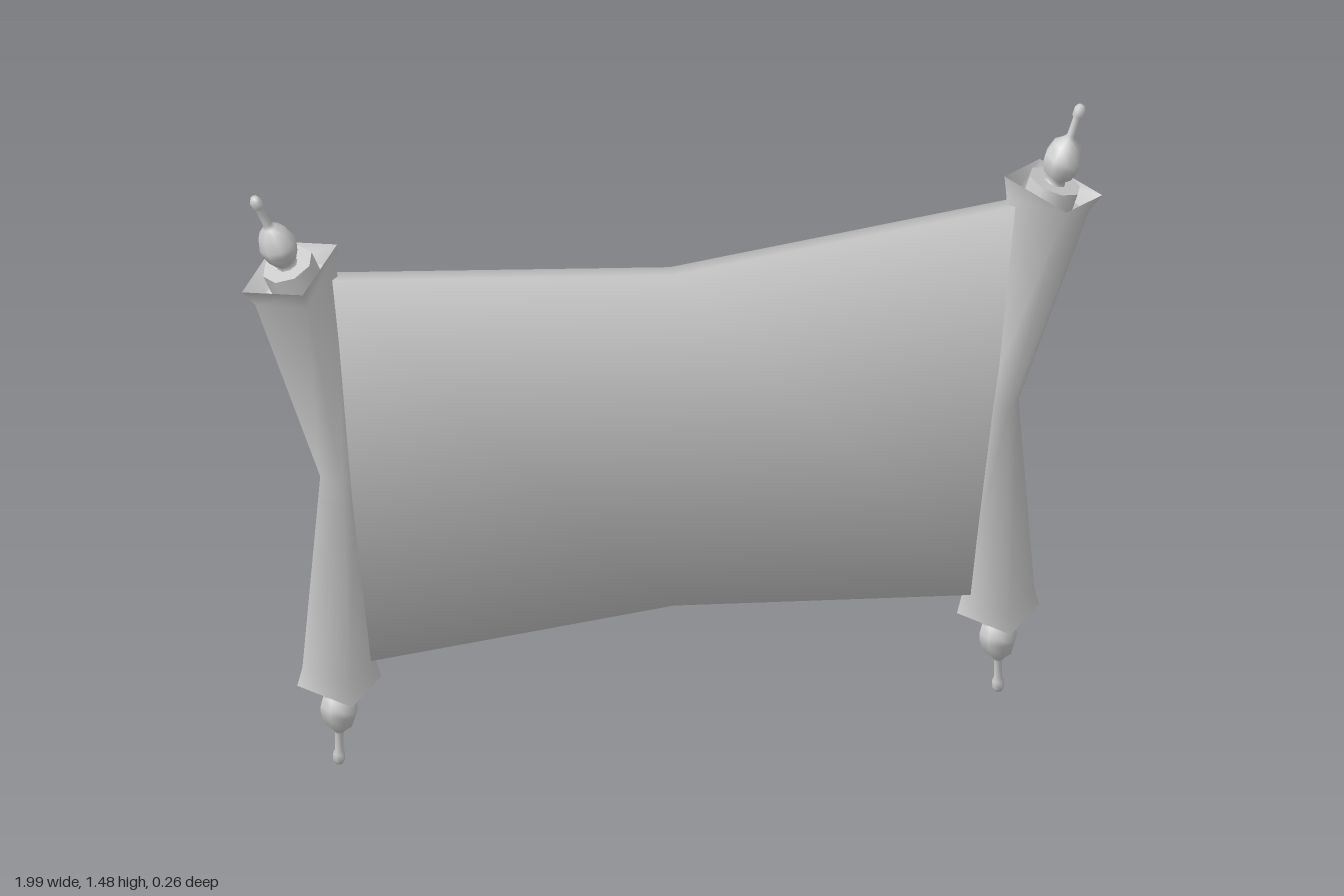
import * as THREE from 'three';

const material = new THREE.MeshStandardMaterial({ color: 0xcccccc, side: THREE.DoubleSide });

function addMesh(parent, name, geometry) {
  const mesh = new THREE.Mesh(geometry, material);
  mesh.name = name;
  parent.add(mesh);
  return mesh;
}

// Smooth skin over diamond cross-sections [x, y, tilt, radiusX, radiusZ], listed upwards
function loft(sections) {
  const pos = [], index = [];
  sections.forEach(([cx, cy, tilt, rx, rz], j) => {
    for (let i = 0; i < 4; i++) {
      const a = i * Math.PI / 2, r = rx * Math.cos(a);
      pos.push(cx + r * Math.cos(tilt), cy + r * Math.sin(tilt), rz * Math.sin(a));
      if (j === 0) continue;
      const p = (j - 1) * 4 + i, q = (j - 1) * 4 + (i + 1) % 4;
      index.push(p, p + 4, q, q, p + 4, q + 4);
    }
  });
  const g = new THREE.BufferGeometry();
  g.setAttribute('position', new THREE.Float32BufferAttribute(pos, 3));
  g.setIndex(index);
  g.computeVertexNormals();
  return g;
}

// Section moved along its own axis and scaled
function shifted([x, y, t, rx, rz], d, s) {
  return [x - d * Math.sin(t), y + d * Math.cos(t), t, rx * s, rz * s];
}

// Knob on a collar, growing along +y from the roller rim
function makeFinial(name) {
  const g = new THREE.Group();
  g.name = name;
  addMesh(g, 'collar', new THREE.CylinderGeometry(0.07, 0.07, 0.057, 8)).position.y = -0.0165;
  const profile = [
    [0.03, 0.01], [0.024, 0.02], [0.04, 0.034], [0.049, 0.058], [0.049, 0.074], [0.038, 0.105],
    [0.018, 0.121], [0.011, 0.13], [0.011, 0.175], [0.016, 0.183], [0.016, 0.199], [0.009, 0.209], [0, 0.21],
  ].map(([r, y]) => new THREE.Vector2(r, y));
  addMesh(g, 'knob', new THREE.LatheGeometry(profile, 8));
  g.scale.x = 0.87;
  return g;
}

// Waisted roller with flared rims, sunken ends and two finials
function makeRoller(name, sections) {
  const g = new THREE.Group();
  g.name = name;
  addMesh(g, 'rollerBody', loft(sections));
  const bottom = sections[0], top = sections[sections.length - 1];
  const ends = [['bottom', bottom, 1], ['top', top, -1]];
  for (const [end, rim, inward] of ends) {
    const rings = [rim, shifted(rim, inward * 0.04, 0.72), shifted(rim, inward * 0.04, 0)];
    if (inward > 0) rings.reverse();
    addMesh(g, end + 'Recess', loft(rings.slice(0, 2)));
    addMesh(g, end + 'Floor', loft(rings.slice(1)));
    const finial = makeFinial(end + 'Finial');
    finial.position.set(rim[0], rim[1], 0);
    finial.rotation.z = rim[2] + (inward > 0 ? Math.PI : 0);
    g.add(finial);
  }
  return g;
}

// Thin sheet, lower in the middle, with normals rounded over its long edges
function makeSheet() {
  const columns = [[-0.81, 1.25, -0.74, 0.26], [0, 1.165, 0, 0.32], [0.8, 1.245, 0.73, 0.26]];
  const pos = [], normal = [], index = [], h = 0.02, n = Math.SQRT1_2;
  columns.forEach(([tx, ty, bx, by], j) => {
    pos.push(tx, ty, h, tx, ty, -h, bx, by, -h, bx, by, h);
    normal.push(0, n, n, 0, n, -n, 0, -n, -n, 0, -n, n);
    if (j === 0) return;
    for (let i = 0; i < 4; i++) {
      const p = (j - 1) * 4 + i, q = (j - 1) * 4 + (i + 1) % 4;
      index.push(p, p + 4, q, q, p + 4, q + 4);
    }
  });
  const g = new THREE.BufferGeometry();
  g.setAttribute('position', new THREE.Float32BufferAttribute(pos, 3));
  g.setAttribute('normal', new THREE.Float32BufferAttribute(normal, 3));
  g.setIndex(index);
  return g;
}

export function createModel() {
  const model = new THREE.Group();
  model.name = 'scroll';
  addMesh(model, 'sheet', makeSheet());
  model.add(makeRoller('rightRoller', [
    [-0.77, 0.21, 0, 0.097, 0.128],
    [-0.77, 0.255, 0, 0.085, 0.112],
    [-0.775, 0.743, 0.09, 0.039, 0.058],
    [-0.87, 1.235, 0.4, 0.102, 0.113],
    [-0.885, 1.28, 0.41, 0.12, 0.132],
  ]));
  model.add(makeRoller('leftRoller', [
    [0.755, 0.21, 0, 0.095, 0.128],
    [0.755, 0.255, 0, 0.084, 0.112],
    [0.765, 0.743, -0.09, 0.038, 0.058],
    [0.87, 1.23, -0.31, 0.1, 0.113],
    [0.883, 1.276, -0.32, 0.119, 0.132],
  ]));
  return model;
}
